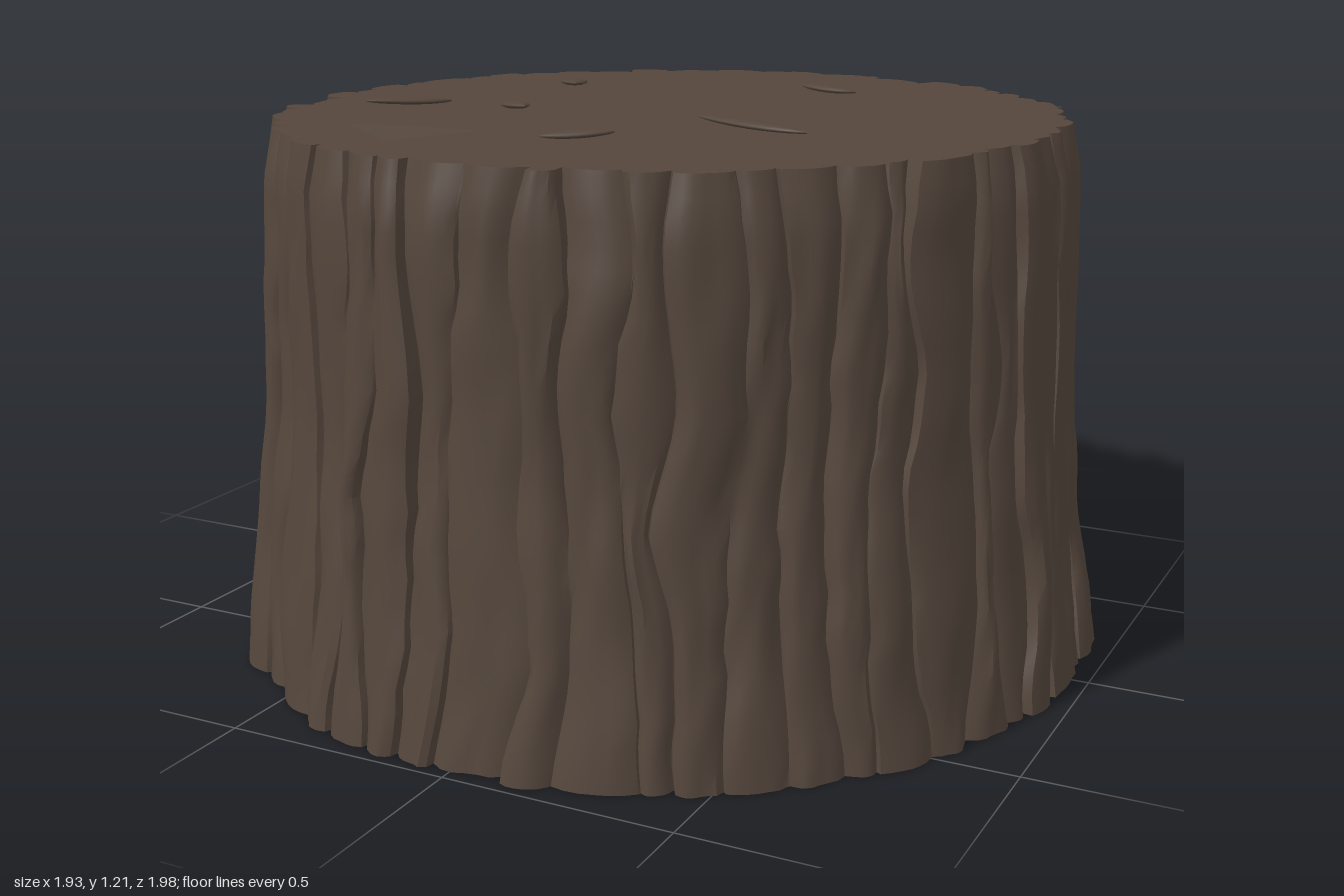
import * as THREE from 'three';
import { toCreasedNormals } from 'three/addons/utils/BufferGeometryUtils.js';

const TOP = 1.175, PLATES = 54, COLS = 7, ROWS = 26;

// Repeatable hash and smooth 1D noise, both in -1..1
const hash = (a, b = 0) => {
  const s = Math.sin(a * 127.1 + b * 311.7 + 5.3) * 43758.5453;
  return (s - Math.floor(s)) * 2 - 1;
};
const noise = (id, t) => {
  const i = Math.floor(t), f = t - i, s = f * f * (3 - 2 * f);
  return hash(id, i) * (1 - s) + hash(id, i + 1) * s;
};

// Trunk radius by height: flared foot, slightly rounded top edge
const PROFILE = [[0, 0.962], [0.12, 0.948], [0.3, 0.925], [0.6, 0.897], [1.08, 0.885], [TOP, 0.865]];
function trunkRadius(y) {
  const k = Math.max(1, PROFILE.findIndex(p => p[0] >= y - 1e-6));
  const [y0, r0] = PROFILE[k - 1], [y1, r1] = PROFILE[k];
  return r0 + (r1 - r0) * (y - y0) / (y1 - y0);
}

// Wandering edge between two bark plates
function plateEdge(i, y) {
  const id = i % PLATES, step = Math.PI * 2 / PLATES;
  return (i + 0.3 * hash(id, 90) + 0.3 * noise(id + 200, y * 4) + 0.06 * noise(id + 300, y * 14)) * step;
}

// Point on the bark, u running across plate i
function barkPoint(i, u, y) {
  const a0 = plateEdge(i, y), a1 = plateEdge(i + 1, y);
  const a = a0 + (a1 - a0) * (0.015 + 0.97 * u);
  const broken = hash(i, 77) > 0.6 ? THREE.MathUtils.smoothstep(y, 0.98 + 0.1 * hash(i, 78), 1.08) * 0.02 : 0;
  const r = trunkRadius(y)
    + 0.011 * hash(i, 50) + 0.009 * noise(i + 400, y * 3)          // plate height
    + 0.016 * (Math.pow(Math.sin(Math.PI * u), 0.6) - 0.6)         // rounded plate
    + 0.012 * (u - 0.5) * Math.sign(hash(i, 51))                   // overlapping lean
    + 0.005 * noise(i * 9 + Math.round(u * 3) + 600, y * 7)        // lumps
    - broken;
  return new THREE.Vector3(Math.sin(a) * r, y, Math.cos(a) * r * 1.015);
}

function rim(y) {
  const pts = [];
  for (let i = 0; i < PLATES; i++)
    for (let c = 0; c < COLS; c++) pts.push(barkPoint(i, c / (COLS - 1), y));
  return pts;
}

function barkGeometry() {
  const pos = [], idx = [], n = PLATES * COLS;
  for (let j = 0; j <= ROWS; j++) for (const p of rim(TOP * j / ROWS)) pos.push(p.x, p.y, p.z);
  for (let j = 0; j < ROWS; j++) {
    for (let k = 0; k < n; k++) {
      const a = j * n + k, b = j * n + (k + 1) % n;
      idx.push(a, b, b + n, a, b + n, a + n);
    }
  }
  const geo = new THREE.BufferGeometry();
  geo.setAttribute('position', new THREE.Float32BufferAttribute(pos, 3));
  geo.setIndex(idx);
  return toCreasedNormals(geo, 0.7);
}

// Hollow in the cut face: walls fan from its outline to one deep point
function pitGeometry(outline, deep) {
  const pos = [];
  outline.forEach(([x, z], k) => {
    const [x2, z2] = outline[(k + 1) % outline.length];
    pos.push(x, TOP, z, x2, TOP, z2, ...deep);
  });
  const geo = new THREE.BufferGeometry();
  geo.setAttribute('position', new THREE.Float32BufferAttribute(pos, 3));
  geo.computeVertexNormals();
  return geo;
}

// Pointed lens lying along x
function leafGeometry(length, width) {
  const geo = new THREE.SphereGeometry(1, 10, 12).rotateZ(Math.PI / 2);
  const p = geo.attributes.position;
  for (let i = 0; i < p.count; i++) {
    const s = Math.sqrt(Math.max(0, 1 - p.getX(i) ** 2));
    p.setZ(i, p.getZ(i) * s);
  }
  geo.scale(length / 2, 0.008, width / 2);
  geo.computeVertexNormals();
  return geo;
}

export function createModel() {
  const model = new THREE.Group();
  model.name = 'treeStump';
  const wood = new THREE.MeshStandardMaterial({ name: 'darkBark', color: 0x54463c });
  const woodInside = new THREE.MeshStandardMaterial({ name: 'hollowWood', color: 0x54463c, side: THREE.DoubleSide });
  const add = (name, geo, mat = wood) => {
    const mesh = new THREE.Mesh(geo, mat);
    mesh.name = name;
    model.add(mesh);
    return mesh;
  };

  add('bark', barkGeometry());

  // Cut face with a chipped hollow and a long radial crack
  const pits = [
    { name: 'chip', outline: [[-0.52, 0.5], [-0.3, 0.68], [-0.22, 0.47], [-0.38, 0.46]], deep: [-0.31, TOP - 0.035, 0.64] },
    { name: 'crack', outline: [[0.02, -0.035], [0.42, -0.23], [0.76, -0.465], [0.41, -0.245]], deep: [0.42, TOP - 0.02, -0.24] },
  ];
  const face = new THREE.Shape(rim(TOP).map(p => new THREE.Vector2(p.x, -p.z)));
  for (const { name, outline, deep } of pits) {
    face.holes.push(new THREE.Path(outline.map(([x, z]) => new THREE.Vector2(x, -z))));
    add(name, pitGeometry(outline, deep), woodInside);
  }
  add('cutFace', new THREE.ShapeGeometry(face).rotateX(-Math.PI / 2).translate(0, TOP, 0));

  // Underside
  const base = new THREE.Shape(rim(0).map(p => new THREE.Vector2(p.x, p.z)));
  add('underside', new THREE.ShapeGeometry(base).rotateX(Math.PI / 2));

  // Fallen leaves: x, z, length, width, direction dx, dz
  const leaves = [
    [0.22, -0.38, 0.14, 0.06, 1, 0.05], [-0.39, -0.25, 0.19, 0.065, 0.1, 0.17],
    [-0.53, 0.25, 0.21, 0.065, 0.11, -0.18], [-0.28, 0.21, 0.13, 0.06, 0.1, 0.09],
    [0.32, 0.28, 0.26, 0.065, 0.25, 0.03], [0.07, 0.56, 0.15, 0.065, 0.14, -0.07],
  ];
  leaves.forEach(([x, z, length, width, dx, dz], k) => {
    const leaf = add('leaf' + (k + 1), leafGeometry(length, width));
    leaf.position.set(x, 1.197, z);
    leaf.rotation.set(0, -Math.atan2(dz, dx), 0.06 * (k % 2 ? 1 : -1));
  });
  return model;
}
